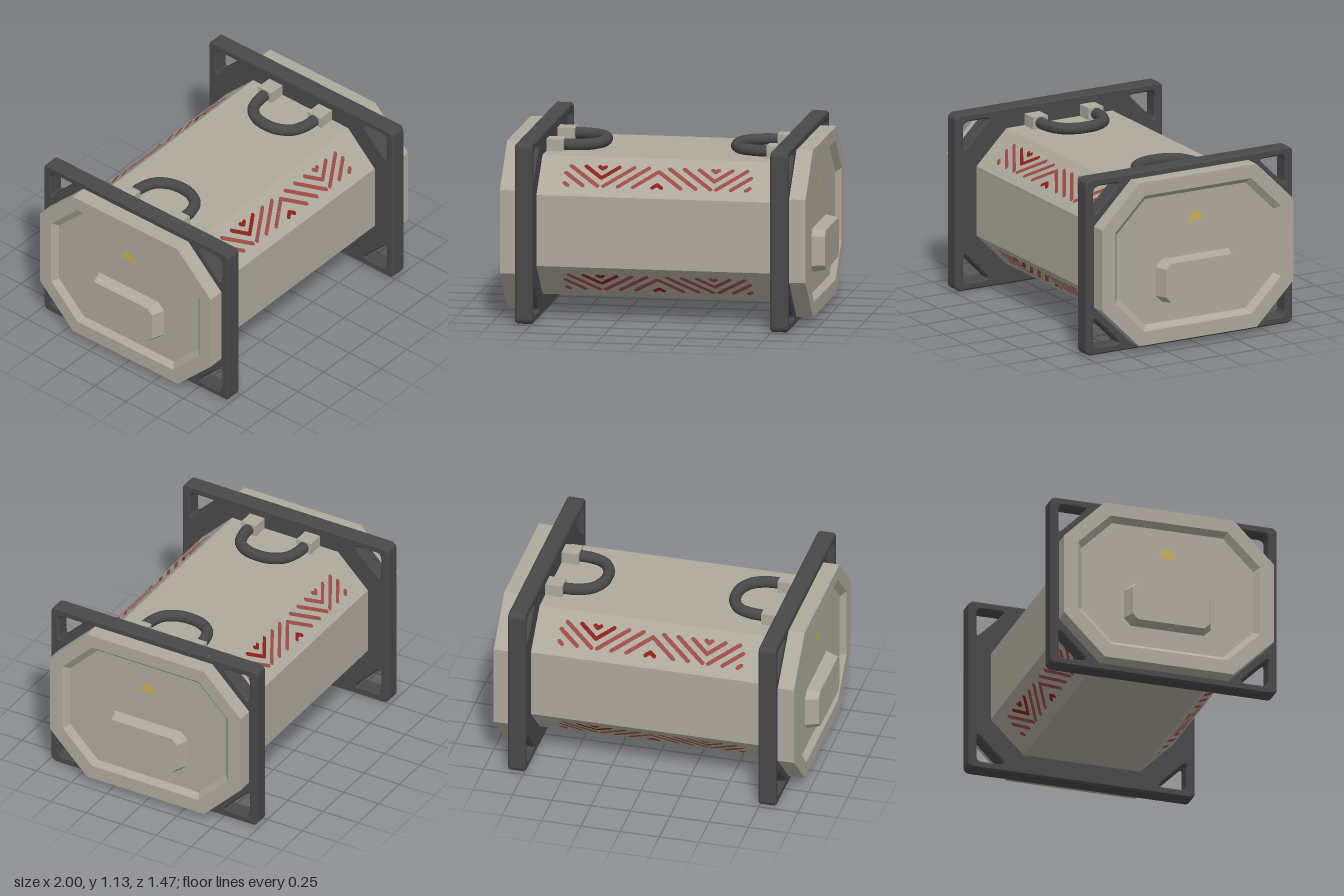
import * as THREE from 'three';

const mat = (name, color) => Object.assign(new THREE.MeshStandardMaterial({ color }), { name });

// Octagon ring across the x axis, counter-clockwise seen from +x
function octagon(x, hz, y0, y1, c) {
  return [
    [-hz, y0 + c], [-hz, y1 - c], [c - hz, y1], [hz - c, y1],
    [hz, y1 - c], [hz, y0 + c], [hz - c, y0], [c - hz, y0],
  ].map(([z, y]) => new THREE.Vector3(x, y, z));
}

// Flat-faced skin through octagon rings, closed at the last ring
function loft(rings) {
  const pts = [];
  for (let r = 0; r + 1 < rings.length; r++) {
    const a = rings[r], b = rings[r + 1];
    for (let i = 0; i < 8; i++) {
      const j = (i + 1) % 8;
      pts.push(a[i], a[j], b[j], a[i], b[j], b[i]);
    }
  }
  const end = rings[rings.length - 1];
  for (let i = 1; i < 7; i++) pts.push(end[0], end[i], end[i + 1]);
  const geo = new THREE.BufferGeometry().setFromPoints(pts);
  geo.computeVertexNormals();
  return geo;
}

// Polygon outline with softened corners
function softPolygon(path, pts, radii) {
  pts.forEach((p, i) => {
    const v = new THREE.Vector2(...p);
    const prev = new THREE.Vector2(...pts[(i + pts.length - 1) % pts.length]);
    const next = new THREE.Vector2(...pts[(i + 1) % pts.length]);
    const a = v.clone().add(prev.sub(v).setLength(radii[i]));
    const b = v.clone().add(next.sub(v).setLength(radii[i]));
    if (i === 0) path.moveTo(a.x, a.y); else path.lineTo(a.x, a.y);
    path.quadraticCurveTo(v.x, v.y, b.x, b.y);
  });
  path.closePath();
  return path;
}

// Painted bar with round ends
function bar(x0, y0, x1, y1, r) {
  const t = Math.atan2(y1 - y0, x1 - x0), s = new THREE.Shape();
  s.absarc(x1, y1, r, t - Math.PI / 2, t + Math.PI / 2);
  s.absarc(x0, y0, r, t + Math.PI / 2, t + Math.PI * 1.5);
  return s;
}

export function createModel() {
  const model = new THREE.Group();
  const shell = mat('warm grey shell', 0xaea99c);
  const dark = mat('dark rubber', 0x484848);
  const red = mat('faded red paint', 0x9a4a44);
  const deepRed = mat('deep red paint', 0x8a2018);
  const yellow = mat('yellow mark', 0xc8ae58);
  const add = (parent, name, geo, material) => {
    const m = new THREE.Mesh(geo, material);
    m.name = name;
    parent.add(m);
    return m;
  };

  // Octagonal barrel
  add(model, 'body', loft([octagon(-0.78, 0.59, 0.13, 1, 0.213), octagon(0.78, 0.59, 0.13, 1, 0.213)]), shell);

  // End frame with a rounded triangular opening in each corner
  const frame = softPolygon(new THREE.Shape(),
    [[-0.725, 0.01], [0.725, 0.01], [0.725, 1.12], [-0.725, 1.12]], [0.03, 0.03, 0.03, 0.03]);
  for (const sx of [-1, 1]) for (const sy of [-1, 1]) {
    const tri = [[0.69, 0.525], [0.47, 0.525], [0.69, 0.305]].map(([x, y]) => [sx * x, 0.565 + sy * y]);
    frame.holes.push(softPolygon(new THREE.Path(), tri, [0.05, 0.065, 0.065]));
  }
  const frameGeo = new THREE.ExtrudeGeometry(frame, {
    depth: 0.09, bevelThickness: 0.01, bevelSize: 0.01, bevelSegments: 1, curveSegments: 6,
  });
  frameGeo.rotateY(Math.PI / 2).translate(0.752, 0, 0);

  // Dished cover plate and raised grip block
  const capGeo = loft([
    octagon(0.84, 0.68, 0.045, 1.09, 0.262), octagon(0.955, 0.68, 0.045, 1.09, 0.262),
    octagon(0.955, 0.59, 0.135, 1.005, 0.21), octagon(0.92, 0.555, 0.167, 0.973, 0.197),
  ]);
  const gripGeo = loft([octagon(0.91, 0.285, 0.293, 0.572, 0.047), octagon(1, 0.25, 0.307, 0.555, 0.035)]);

  // Small domed marking
  const mark = new THREE.Shape();
  mark.moveTo(-0.055, 0.783);
  mark.lineTo(0.055, 0.783);
  mark.bezierCurveTo(0.05, 0.81, 0.02, 0.85, 0, 0.85);
  mark.bezierCurveTo(-0.02, 0.85, -0.05, 0.81, -0.055, 0.783);
  const markGeo = new THREE.ShapeGeometry(mark).rotateY(Math.PI / 2).translate(0.924, 0, 0);

  // Curved carrying handle
  const curve = new THREE.CatmullRomCurve3(
    [[0.68, 0.197], [0.56, 0.193], [0.47, 0.155], [0.42, 0.075], [0.41, 0],
      [0.42, -0.075], [0.47, -0.155], [0.56, -0.193], [0.68, -0.197]]
      .map(([x, z]) => new THREE.Vector3(x, 1.036, z)));
  const handleGeo = new THREE.TubeGeometry(curve, 40, 0.036, 14);

  for (const side of [0, 1]) {
    const end = new THREE.Group();
    end.name = side ? 'rightEnd' : 'leftEnd';
    end.rotation.y = side * Math.PI;
    add(end, 'endFrame', frameGeo, dark);
    add(end, 'coverPlate', capGeo, shell);
    add(end, 'gripBlock', gripGeo, shell);
    add(end, 'coverMark', markGeo, yellow);
    add(end, 'handle', handleGeo, dark);
    for (const s of [-1, 1]) {
      add(end, 'handleMount', new THREE.BoxGeometry(0.107, 0.085, 0.105), shell)
        .position.set(0.687, 1.033, s * 0.197);
    }
    model.add(end);
  }

  // Chevron bars: each cell runs from a valley (u = 0) to a peak (u = 0.353)
  const faded = [], deep = [], H = 0.072, RUN = 0.178, PEAK = 0.353;
  for (const valley of [-PEAK, PEAK]) for (const dir of [-1, 1]) {
    const limit = valley * dir > 0 ? 0.225 : PEAK;
    for (const start of [-0.16, -0.075, 0.018, 0.11, 0.205, 0.325]) {
      const u0 = Math.max(start, 0), u1 = Math.min(start + RUN, limit);
      if (u1 - u0 < 0.005) continue;
      const v = (u) => -H + (u - start) / RUN * 2 * H;
      const isDeep = start > 0.3 || (valley < 0 && start < 0);
      (isDeep ? deep : faded).push(
        bar(valley + dir * u0, v(u0), valley + dir * u1, v(u1), 0.013));
    }
  }
  const fadedGeo = new THREE.ShapeGeometry(faded, 4), deepGeo = new THREE.ShapeGeometry(deep, 4);

  // One painted band on each of the four sloping faces
  for (const back of [0, 1]) {
    const half = new THREE.Group();
    half.name = back ? 'backStripes' : 'frontStripes';
    half.rotation.y = back * Math.PI;
    for (const s of [-1, 1]) {
      const band = new THREE.Group();
      band.name = s > 0 ? 'upperStripes' : 'lowerStripes';
      band.position.set(0, 0.565 + s * (0.3285 + 0.003), 0.4835 + 0.003);
      band.rotation.x = -s * Math.PI / 4;
      add(band, 'fadedBars', fadedGeo, red);
      add(band, 'deepBars', deepGeo, deepRed);
      half.add(band);
    }
    model.add(half);
  }
  return model;
}
